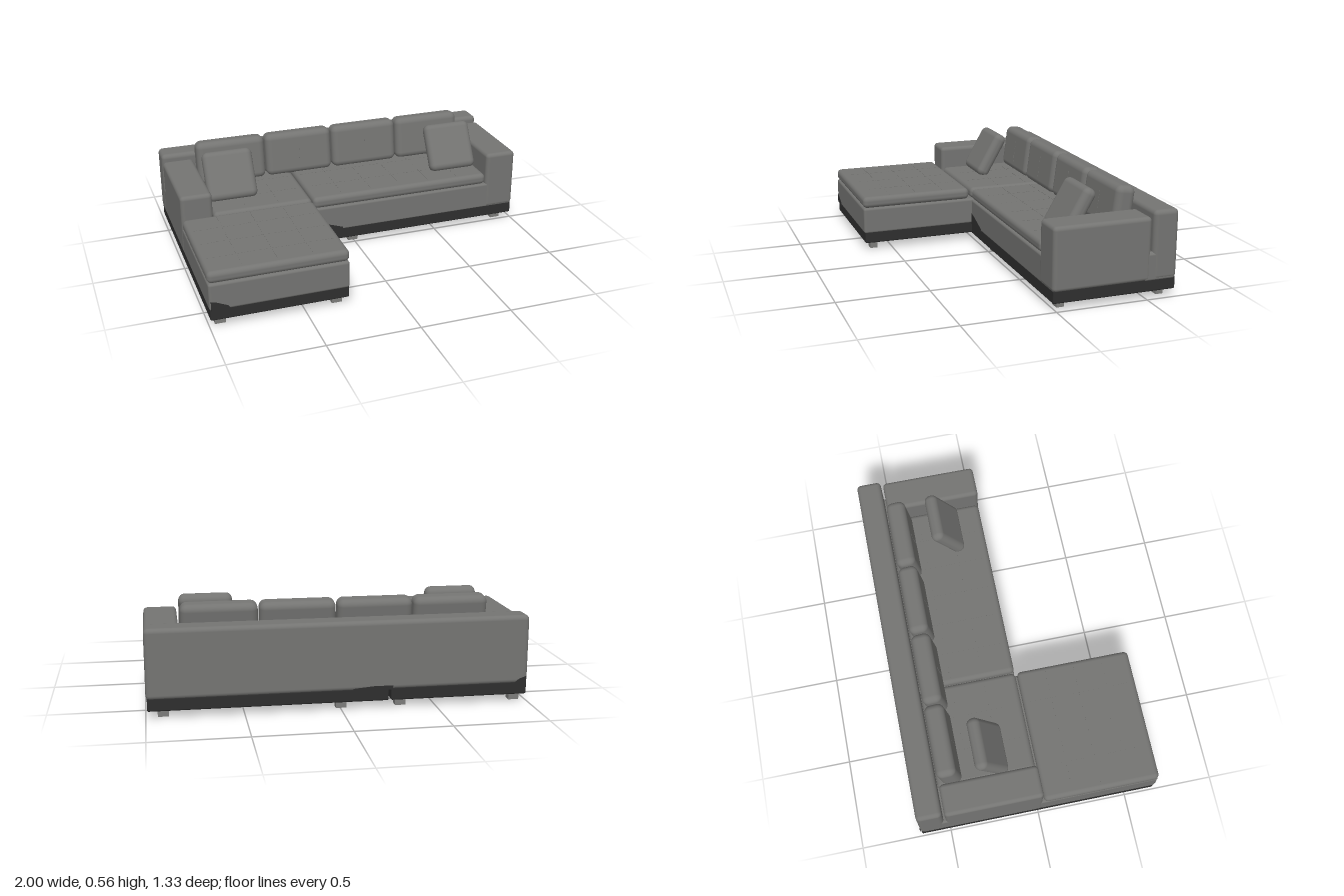
import * as THREE from 'three';
import { RoundedBoxGeometry } from 'three/addons/geometries/RoundedBoxGeometry.js';

export function createModel() {
  const sofa = new THREE.Group();
  sofa.name = 'cornerSofa';
  const material = (name, color) => {
    const m = new THREE.MeshStandardMaterial({ color });
    m.name = name;
    return m;
  };
  const fabric = material('grey fabric', 0x747472);
  const dark = material('dark plinth', 0x2e2e2e);
  const footGrey = material('foot grey', 0x7c7c7a);

  const add = (name, geometry, mat, parent = sofa) => {
    const mesh = new THREE.Mesh(geometry, mat);
    mesh.name = name;
    parent.add(mesh);
    return mesh;
  };
  // Rounded block given by its limits on each axis
  const block = (name, [x0, x1], [y0, y1], [z0, z1], radius, mat = fabric) => {
    const mesh = add(name, new RoundedBoxGeometry(x1 - x0, y1 - y0, z1 - z0, 4, radius), mat);
    mesh.position.set((x0 + x1) / 2, (y0 + y1) / 2, (z0 + z1) / 2);
    return mesh;
  };

  // Plinths of the chaise module and the long module
  block('chaisePlinth', [-0.995, -0.262], [0.04, 0.11], [-0.66, 0.66], 0.008, dark);
  block('longPlinth', [-0.25, 0.992], [0.04, 0.11], [-0.66, 0.016], 0.008, dark);

  // Upholstered bases
  block('chaiseFrontBase', [-0.998, -0.26], [0.098, 0.25], [0, 0.665], 0.014);
  block('chaiseRearBase', [-0.998, -0.26], [0.098, 0.25], [-0.64, 0.018], 0.012);
  block('longBase', [-0.25, 0.99], [0.098, 0.25], [-0.64, 0.017], 0.012);

  // Arms and the continuous backrest
  block('rightArm', [-1, -0.825], [0.098, 0.437], [-0.515, 0.02], 0.022);
  block('leftArm', [0.818, 0.998], [0.098, 0.437], [-0.515, 0.02], 0.022);
  block('backrest', [-1, 0.998], [0.098, 0.467], [-0.665, -0.527], 0.025);
  for (const side of [-1, 1]) {
    const [x0, x1] = side < 0 ? [-0.998, -0.8] : [0.8, 0.996];
    block('rearCornerBase', [x0, x1], [0.098, 0.245], [-0.655, -0.48], 0.012);
  }

  // Seat cushions with rows of fine dashed stitching
  const seat = (name, xs, zs, columns, rows) => {
    block(name, xs, [0.249, 0.314], zs, 0.026);
    const stitches = [];
    const width = xs[1] - xs[0], depth = zs[1] - zs[0];
    const line = (fixed, from, to, alongX) => {
      for (let p = from + 0.04; p < to - 0.04; p += 0.03)
        stitches.push(alongX ? [p, fixed, 0] : [fixed, p, Math.PI / 2]);
    };
    for (let i = 1; i < columns; i++) line(xs[0] + width * i / columns, zs[0], zs[1], false);
    for (let i = 1; i < rows; i++) line(zs[0] + depth * i / rows, xs[0], xs[1], true);
    const mesh = new THREE.InstancedMesh(new THREE.BoxGeometry(0.018, 0.002, 0.003), fabric, stitches.length);
    mesh.name = name + 'Stitching';
    const dummy = new THREE.Object3D();
    stitches.forEach(([x, z, turn], i) => {
      dummy.position.set(x, 0.3145, z);
      dummy.rotation.y = turn;
      dummy.updateMatrix();
      mesh.setMatrixAt(i, dummy.matrix);
    });
    sofa.add(mesh);
  };
  seat('chaiseFrontSeat', [-1, -0.258], [0.026, 0.665], 4, 4);
  seat('chaiseRearSeat', [-0.82, -0.258], [-0.525, 0.016], 3, 3);
  seat('longSeat', [-0.25, 0.817], [-0.525, 0.016], 6, 3);

  // Leaning cushions
  const cushion = (name, size, position, tilt, radius) => {
    const group = new THREE.Group();
    group.name = name;
    group.position.set(...position);
    group.rotation.x = -tilt;
    sofa.add(group);
    add(name + 'Pad', new RoundedBoxGeometry(...size, 5, radius), fabric, group);
    return group;
  };
  [-0.615, -0.207, 0.202, 0.61].forEach((x) => {
    const group = cushion('backCushion', [0.4, 0.25, 0.108], [x, 0.427, -0.452], 0.13, 0.036);
    // Centre seam
    for (let y = -0.07; y <= 0.075; y += 0.03)
      add('seamStitch', new THREE.BoxGeometry(0.003, 0.018, 0.002), fabric, group).position.set(0, y, 0.0545);
  });
  cushion('rightPillow', [0.285, 0.28, 0.076], [-0.673, 0.43, -0.22], 0.52, 0.034);
  cushion('leftPillow', [0.285, 0.28, 0.076], [0.668, 0.43, -0.205], 0.52, 0.034);

  // Dark corner trims rising from the plinth
  const trim = (name, points, z, facingBack = false) => {
    const shape = new THREE.Shape(points.map(([x, y]) => new THREE.Vector2(x, y)));
    const mesh = add(name, new THREE.ExtrudeGeometry(shape, { depth: 0.003, bevelEnabled: false }), dark);
    mesh.position.z = facingBack ? z - 0.003 : z;
  };
  trim('chaiseCornerTrim', [[-0.99, 0.1], [-0.89, 0.1], [-0.9, 0.118], [-0.96, 0.145], [-0.99, 0.153]], 0.6635);
  trim('longCornerTrim', [[-0.245, 0.1], [-0.08, 0.1], [-0.08, 0.115], [-0.2, 0.155], [-0.245, 0.165]], 0.0155);
  trim('rearCornerTrim', [[-0.99, 0.1], [-0.92, 0.1], [-0.95, 0.125], [-0.99, 0.14]], -0.6635, true);
  trim('rearSeamTrim', [[-0.27, 0.1], [-0.06, 0.1], [-0.06, 0.112], [-0.17, 0.122], [-0.27, 0.122]], -0.6635, true);

  // Four feet under each module
  const feet = (xs, zs) => {
    for (const x of xs) for (const z of zs)
      add('foot', new THREE.BoxGeometry(0.056, 0.044, 0.042), footGrey).position.set(x, 0.022, z);
  };
  feet([-0.94, -0.32], [0.605, -0.6]);
  feet([-0.005, 0.912], [-0.045, -0.6]);

  return sofa;
}
